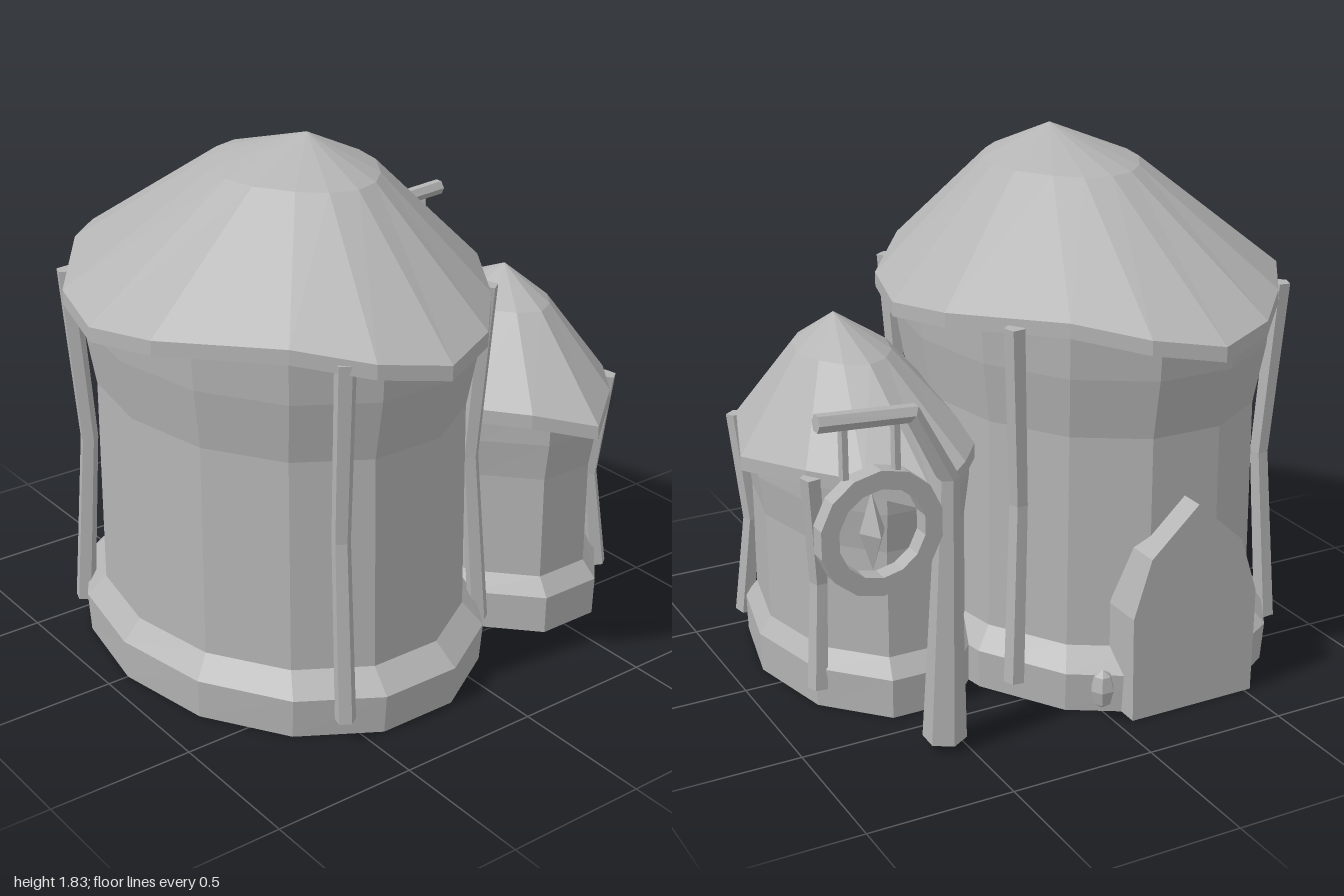
import * as THREE from 'three';

const clay = new THREE.MeshStandardMaterial({ color: 0xb4b4b4, flatShading: true, side: THREE.DoubleSide });
clay.name = 'plain grey';

const V = (x, y, z) => new THREE.Vector3(x, y, z);

function part(name, geometry) {
  const g = geometry.index ? geometry.toNonIndexed() : geometry;
  g.computeVertexNormals();
  const mesh = new THREE.Mesh(g, clay);
  mesh.name = name;
  return mesh;
}

// Skin between successive closed rings with equal point counts
function loft(rings) {
  const pos = [];
  const tri = (a, b, c) => {
    if (a.distanceTo(b) < 1e-6 || b.distanceTo(c) < 1e-6 || c.distanceTo(a) < 1e-6) return;
    for (const p of [a, b, c]) pos.push(p.x, p.y, p.z);
  };
  for (let r = 0; r + 1 < rings.length; r++) {
    const lo = rings[r], hi = rings[r + 1], n = lo.length;
    for (let i = 0; i < n; i++) {
      const j = (i + 1) % n;
      tri(lo[i], lo[j], hi[j]);
      tri(lo[i], hi[j], hi[i]);
    }
  }
  const g = new THREE.BufferGeometry();
  g.setAttribute('position', new THREE.Float32BufferAttribute(pos, 3));
  return g;
}

const repeat = (p, n) => Array.from({ length: n }, () => p);

// Elliptical ring with corners on the x axis
function ellipse(cx, cz, rx, rz, y, n) {
  return Array.from({ length: n }, (_, i) => {
    const a = ((i + 0.5) / n) * Math.PI * 2;
    return V(cx + rx * Math.sin(a), y, cz + rz * Math.cos(a));
  });
}

// Whole outline mirrored from one quarter, listed from +z to +x
function mirrorQuarter(q) {
  const inner = q.slice(1, -1), back = [...inner].reverse(), last = q[q.length - 1];
  return [
    ...q,
    ...back.map(([x, z]) => [x, -z]), [q[0][0], -q[0][1]],
    ...inner.map(([x, z]) => [-x, -z]), [-last[0], last[1]],
    ...back.map(([x, z]) => [-x, z]),
  ];
}

// Roof with a wavy rim, a shoulder ring and an off-centre peak
function roof(name, o) {
  const outline = mirrorQuarter(o.quarter), n = outline.length;
  const wave = (i) => o.wave * Math.sin((i / n) * Math.PI * 4) ** 2;
  const ring = (s, y) => outline.map(([x, z], i) => V(o.cx + x * s, y + wave(i), o.cz + z * s));
  const [sx, sy, sz, srx, srz] = o.shoulder;
  const [ox, oz] = [o.quarter[n / 4][0], o.quarter[0][1]];
  const shoulder = Array.from({ length: n }, (_, i) => {
    const a = (i / n) * Math.PI * 2;
    const [x, z] = outline[i];
    // halfway between an ellipse and the rim outline
    return V(sx + srx * (Math.sin(a) + x / ox) / 2, sy, sz + srz * (Math.cos(a) + z / oz) / 2);
  });
  return part(name, loft([
    ring(0.84, o.y + 0.01), ring(1, o.y), ring(1, o.y + 0.05), shoulder, repeat(o.peak, n),
  ]));
}

// Bent pole of varying radius with closed ends
function pole(name, points, n) {
  const rings = points.map(([c, r], k) => {
    const a = points[Math.max(k - 1, 0)][0], b = points[Math.min(k + 1, points.length - 1)][0];
    const t = b.clone().sub(a).normalize();
    const u = t.clone().cross(V(0, 0, 1)).normalize();
    const v = u.clone().cross(t);
    return Array.from({ length: n }, (_, i) => {
      const q = (i / n) * Math.PI * 2;
      return c.clone().addScaledVector(u, r * Math.sin(q)).addScaledVector(v, r * Math.cos(q));
    });
  });
  const ends = [points[0][0], points[points.length - 1][0]];
  return part(name, loft([repeat(ends[0], n), ...rings, repeat(ends[1], n)]));
}

// Wall post that bows in towards the tower at half height
function wallBeam(cx, cz, x, z, top) {
  const d = V(x - cx, 0, z - cz).normalize().multiplyScalar(-0.045);
  return pole('wallBeam', [
    [V(x, 0.07, z), 0.036],
    [V(x + d.x, top * 0.53, z + d.z), 0.032],
    [V(x, top, z), 0.036],
  ], 5);
}

export function createModel() {
  const model = new THREE.Group();
  model.name = 'roundHuts';

  // Large tower
  const big = new THREE.Group();
  big.name = 'largeTower';
  const bigWall = [[0.635, 0.805, 0], [0.642, 0.82, 0.14], [0.578, 0.735, 0.21],
    [0.572, 0.73, 0.95], [0.605, 0.775, 1.16], [0.618, 0.79, 1.33]];
  big.add(part('largeWall', loft(bigWall.map(([rx, rz, y]) => ellipse(-0.29, 0, rx, rz, y, 14)))));
  big.add(roof('largeRoof', {
    cx: -0.29, cz: 0, y: 1.252, wave: 0.055,
    quarter: [[0, 0.92], [0.215, 0.83], [0.395, 0.635], [0.65, 0.27], [0.71, 0]],
    shoulder: [-0.255, 1.71, 0.065, 0.265, 0.345], peak: V(-0.235, 1.825, 0.11),
  }));
  for (const [x, z] of [[-0.555, 0.74], [0.21, 0.5], [0.22, -0.485], [-0.82, -0.46]])
    big.add(wallBeam(-0.29, 0, x, z, 1.32));
  model.add(big);

  // Small tower
  const small = new THREE.Group();
  small.name = 'smallTower';
  const smallWall = [[0.372, 0.55, 0], [0.377, 0.555, 0.14], [0.335, 0.5, 0.2],
    [0.335, 0.5, 0.58], [0.355, 0.525, 0.72], [0.36, 0.53, 0.84]];
  small.add(part('smallWall', loft(smallWall.map(([rx, rz, y]) => ellipse(0.52, 0.115, rx, rz, y, 10)))));
  small.add(roof('smallRoof', {
    cx: 0.52, cz: 0.115, y: 0.757, wave: 0.055,
    quarter: [[0, 0.62], [0.18, 0.485], [0.31, 0.315], [0.415, 0]],
    shoulder: [0.535, 1.12, 0.175, 0.165, 0.24], peak: V(0.55, 1.235, 0.2),
  }));
  for (const [x, z] of [[0.82, 0.462], [0.82, -0.215]])
    small.add(wallBeam(0.52, 0.115, x, z, 0.83));
  model.add(small);

  // Pointed door slab and its knob
  const arch = new THREE.Shape();
  arch.moveTo(-0.235, 0);
  for (const [x, y] of [[0.235, 0], [0.24, 0.37], [0.175, 0.57], [0, 0.73], [-0.175, 0.57], [-0.24, 0.37]])
    arch.lineTo(x, y);
  const door = part('door', new THREE.ExtrudeGeometry(arch, { depth: 0.15, bevelEnabled: false }));
  door.position.set(-0.29, 0, -0.8);
  model.add(door);
  const knob = part('doorKnob', new THREE.SphereGeometry(1, 6, 4));
  knob.scale.set(0.042, 0.07, 0.042);
  knob.position.set(0.025, 0.11, -0.735);
  model.add(knob);

  // Hanging sign on a bent post
  const sign = new THREE.Group();
  sign.name = 'hangingSign';
  sign.add(pole('signPost', [
    [V(0.56, 0.03, -0.64), 0.072], [V(0.56, 0.95, -0.685), 0.036],
    [V(0.68, 1.18, -0.69), 0.032], [V(0.99, 1.2, -0.69), 0.03],
  ], 6));
  for (const x of [0.735, 0.905]) {
    const hanger = part('signHanger', new THREE.CylinderGeometry(0.016, 0.016, 0.18, 5));
    hanger.position.set(x, 1.1, -0.69);
    sign.add(hanger);
  }
  const rim = [[0.145, -0.03], [0.205, -0.03], [0.205, 0.03], [0.145, 0.03], [0.145, -0.03]];
  const ring = part('signRing', new THREE.LatheGeometry(rim.map(([x, y]) => new THREE.Vector2(x, y)), 14));
  ring.rotation.x = Math.PI / 2;
  ring.position.set(0.795, 0.82, -0.685);
  sign.add(ring);
  const gem = part('signDiamond', new THREE.OctahedronGeometry(1));
  gem.scale.set(0.042, 0.13, 0.065);
  gem.position.set(0.815, 0.82, -0.68);
  sign.add(gem);
  model.add(sign);

  return model;
}
